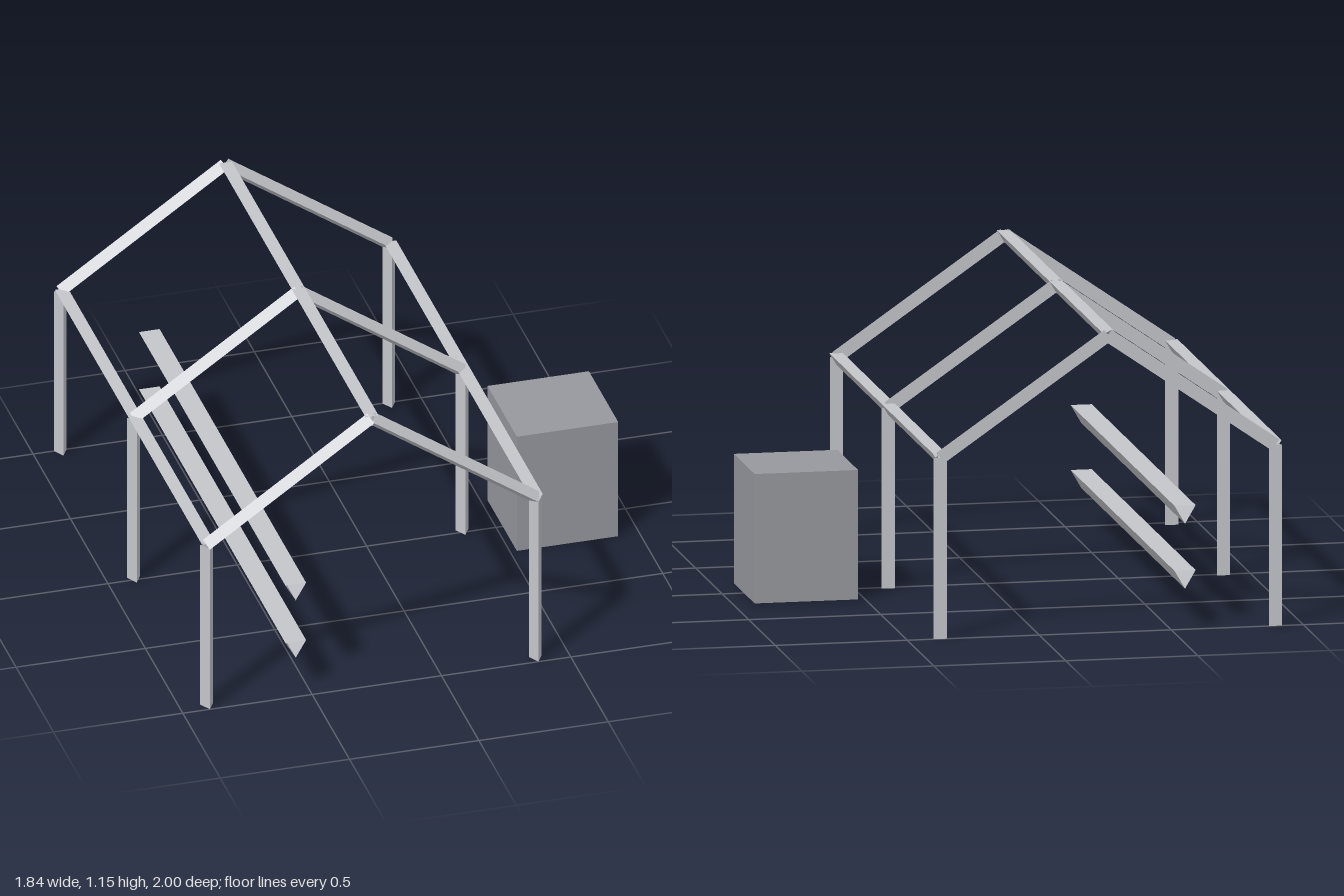
import * as THREE from 'three';

const POST_R = 0.0289, RAIL_R = 0.0462;        // circumradius of the triangular beams
const LEFT = -0.895, RIGHT = 0.375, RIDGE_X = -0.26;
const EAVE_Y = 0.685, RIDGE_Y = 1.125;
const FRAMES = [0.971, -0.007, -0.986];        // z of the three portal frames

export function createModel() {
  const model = new THREE.Group();
  model.name = 'shelterFrame';

  const beamGrey = new THREE.MeshStandardMaterial({ color: 0xc4c5ca, flatShading: true, side: THREE.DoubleSide });
  beamGrey.name = 'light grey';
  const boxGrey = new THREE.MeshStandardMaterial({ color: 0x96989e, flatShading: true });
  boxGrey.name = 'mid grey';

  // Open three-sided tube between two points; its sharp edge faces +z, or down when it runs along z
  function beam(name, from, to, radius = POST_R) {
    const a = new THREE.Vector3(...from), b = new THREE.Vector3(...to);
    const dir = b.clone().sub(a);
    const mesh = new THREE.Mesh(
      new THREE.CylinderGeometry(radius, radius, dir.length(), 3, 1, true), beamGrey);
    if (dir.z !== 0) mesh.rotation.x = Math.PI / 2;
    else mesh.rotation.z = Math.atan2(-dir.x, dir.y);
    mesh.position.copy(a).add(b).multiplyScalar(0.5);
    mesh.name = name;
    model.add(mesh);
  }

  // Portal frames: two posts and two rafters each
  for (const z of FRAMES) {
    for (const [side, x] of [['left', RIGHT], ['right', LEFT]]) {
      beam(side + 'Post', [x, 0, z], [x, EAVE_Y, z]);
      beam(side + 'Rafter', [x, EAVE_Y, z], [RIDGE_X, RIDGE_Y, z]);
    }
  }

  // Beams running the whole length
  const [front, , back] = FRAMES;
  const along = (name, x, y, r) => beam(name, [x, y, back], [x, y, front], r);
  along('leftEave', RIGHT, EAVE_Y);
  along('rightEave', LEFT, EAVE_Y);
  along('ridge', RIDGE_X, RIDGE_Y);
  along('upperRail', -0.555, 0.443, RAIL_R);
  along('lowerRail', -0.555, 0.197, RAIL_R);

  // Free-standing block beside the frame
  const block = new THREE.Mesh(new THREE.BoxGeometry(0.392, 0.49, 0.392), boxGrey);
  block.position.set(0.722, 0.245, -0.007);
  block.name = 'block';
  model.add(block);

  return model;
}
